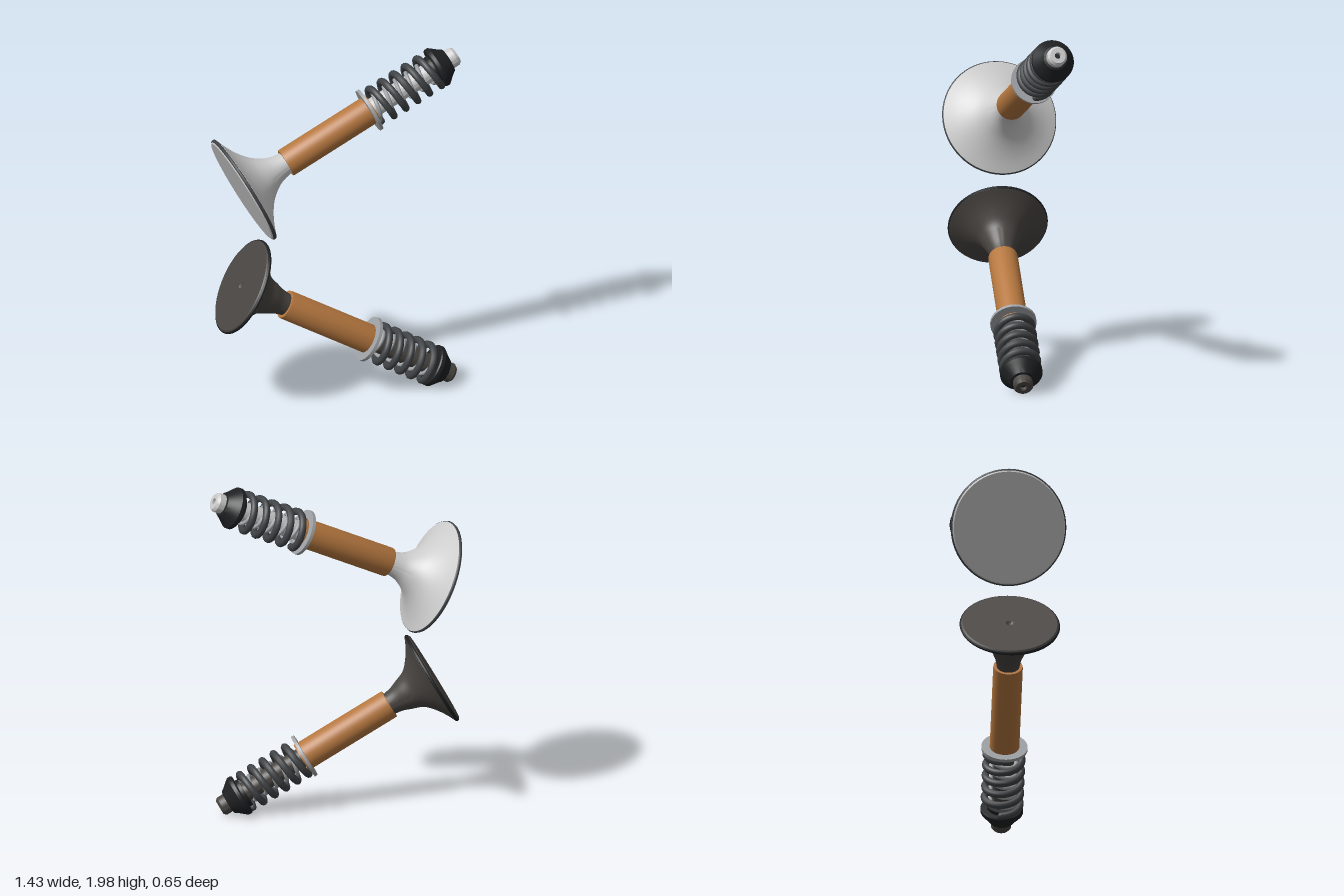
import * as THREE from 'three';
import { toCreasedNormals } from 'three/addons/utils/BufferGeometryUtils.js';

const mat = (color) => new THREE.MeshStandardMaterial({ color, side: THREE.DoubleSide });
const LIGHT = mat(0xdedede), DARK = mat(0x4a4642), BRONZE = mat(0xb5773f);
const SPRING = mat(0x404346), INNER = mat(0xa0a3a6), BLACK = mat(0x1e2022);

function add(group, name, geometry, material) {
  const mesh = new THREE.Mesh(geometry, material);
  mesh.name = name;
  group.add(mesh);
  return mesh;
}

// Surface of revolution from [radius, height] pairs
function lathe(points, segments = 48) {
  const g = new THREE.LatheGeometry(points.map(([r, y]) => new THREE.Vector2(r, y)), segments);
  return toCreasedNormals(g, 0.5);
}

class Helix extends THREE.Curve {
  constructor(radius, y0, y1, turns, hand) {
    super();
    Object.assign(this, { radius, y0, y1, turns, hand });
  }
  getPoint(t, target = new THREE.Vector3()) {
    const a = t * this.turns * Math.PI * 2 * this.hand;
    return target.set(this.radius * Math.cos(a), this.y0 + (this.y1 - this.y0) * t, this.radius * Math.sin(a));
  }
}

// Closed-ended coil spring
function coil(group, name, radius, wire, y0, y1, turns, hand, material) {
  const helix = new Helix(radius, y0, y1, turns, hand);
  add(group, name, new THREE.TubeGeometry(helix, Math.round(turns * 36), wire, 10), material);
  for (const t of [0, 1]) {
    const cap = add(group, name + 'End', new THREE.SphereGeometry(wire, 10, 8), material);
    cap.position.copy(helix.getPoint(t));
  }
}

// One valve assembly, built along +y from the head face, then aimed from face to tip
function valve(name, face, tip, headR, metal, dimple) {
  const g = new THREE.Group();
  g.name = name;
  const start = new THREE.Vector3(...face);
  const axis = new THREE.Vector3(...tip).sub(start);
  const L = axis.length();
  const k = headR / 0.32;

  // Flared head, from the flat face to the neck
  const flare = new THREE.SplineCurve([
    [headR, 0.026], [0.255 * k, 0.053], [0.19 * k, 0.09], [0.135 * k, 0.135],
    [0.09, 0.195], [0.07, 0.25], [0.06, 0.32],
  ].map(([r, y]) => new THREE.Vector2(r, y))).getPoints(24).map((p) => [p.x, p.y]);
  const centre = dimple ? [[0, 0.012], [0.012, 0.008], [0.022, 0]] : [[0, 0]];
  add(g, 'head', lathe([...centre, [headR - 0.01, 0], [headR, 0.008], ...flare], 64), metal);
  const rim = add(g, 'headRim', new THREE.TorusGeometry(headR - 0.005, 0.011, 8, 64), dimple ? BLACK : SPRING);
  rim.rotation.x = Math.PI / 2;
  rim.position.y = 0.016;

  // Stem with a chamfered, drilled tip
  add(g, 'stem', lathe([
    [0.06, 0.31], [0.055, 0.4], [0.055, L - 0.015], [0.043, L], [0.018, L], [0.018, L - 0.03], [0, L - 0.03],
  ]), metal);
  const hole = add(g, 'tipHole', new THREE.CylinderGeometry(0.017, 0.017, 0.004, 20), BLACK);
  hole.position.y = L - 0.027;

  // Guide sleeve and spring seat
  add(g, 'guide', lathe([[0.058, 0.29], [0.08, 0.29], [0.082, 0.3], [0.082, 0.86], [0.056, 0.86]]), BRONZE);
  add(g, 'springSeat', lathe([
    [0.08, 0.832], [0.128, 0.832], [0.128, 0.85], [0.08, 0.85], [0.08, 0.832],
  ]), INNER);

  // Outer and inner springs
  coil(g, 'outerSpring', 0.1, 0.02, 0.868, L - 0.155, 5, -1, SPRING);
  coil(g, 'innerSpring', 0.067, 0.011, 0.862, L - 0.155, 5.5, 1, INNER);

  // Retainer
  add(g, 'retainer', lathe([
    [0.05, L - 0.165], [0.083, L - 0.165], [0.083, L - 0.145], [0.112, L - 0.145], [0.118, L - 0.138],
    [0.118, L - 0.118], [0.108, L - 0.105], [0.085, L - 0.078], [0.068, L - 0.054], [0.052, L - 0.05],
  ]), BLACK);

  g.position.copy(start);
  g.quaternion.setFromUnitVectors(new THREE.Vector3(0, 1, 0), axis.normalize());
  return g;
}

export function createModel() {
  const model = new THREE.Group();
  model.name = 'valvePair';
  model.add(
    valve('upperValve', [-0.58, 1.335, 0], [0.695, 1.938, -0.088], 0.318, LIGHT, false),
    valve('lowerValve', [-0.585, 0.75, 0.005], [0.615, 0.058, 0.09], 0.272, DARK, true),
  );
  return model;
}
